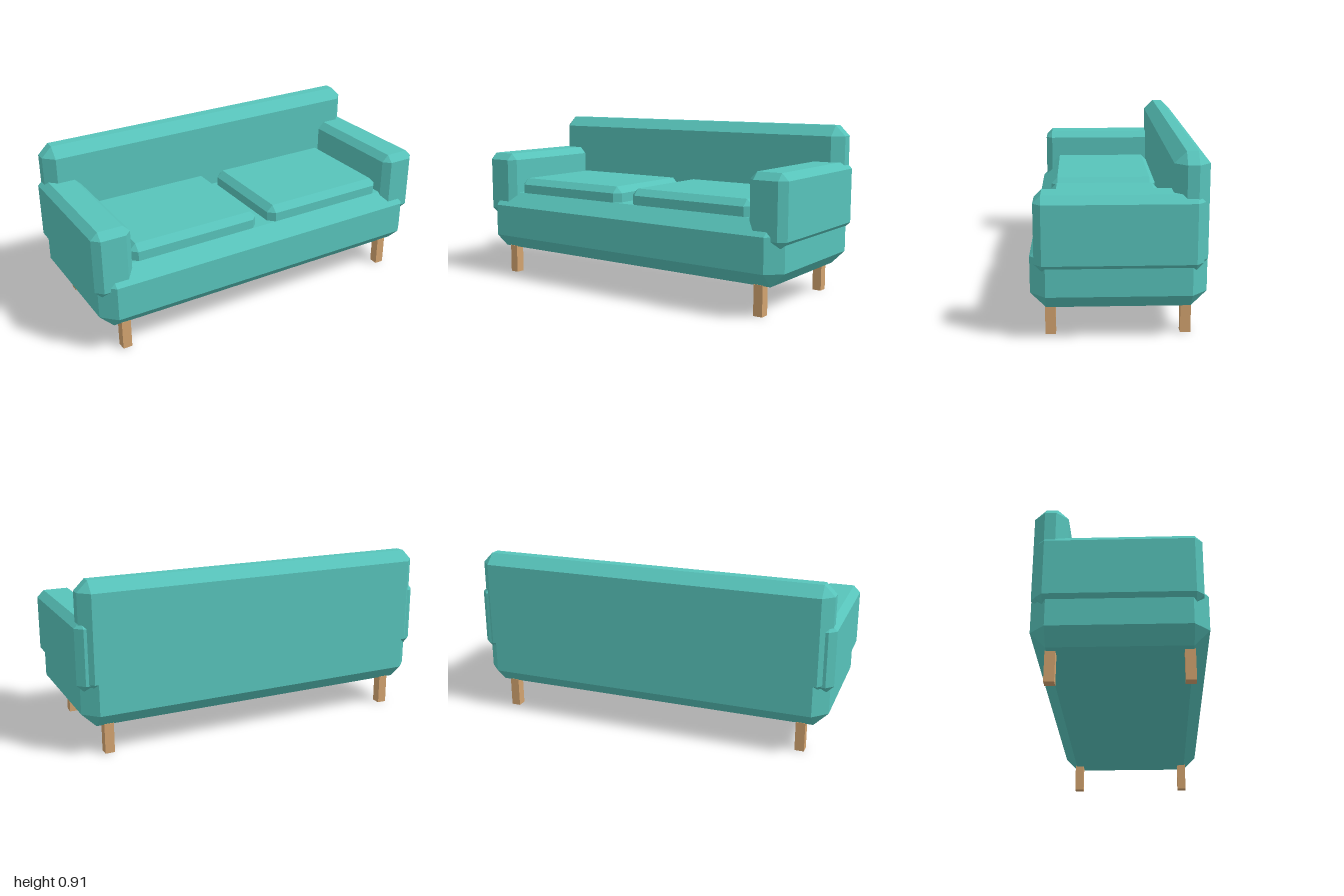
import * as THREE from 'three';
import { ConvexGeometry } from 'three/addons/geometries/ConvexGeometry.js';

const fabric = new THREE.MeshStandardMaterial({ color: 0x57c3ba });
fabric.name = 'teal fabric';
const wood = new THREE.MeshStandardMaterial({ color: 0xd2a36f });
wood.name = 'light wood';

// Box from min to max corner with every edge cut flat by c
function chamferBox(min, max, c) {
  const size = max.map((v, i) => (v - min[i]) / 2);
  const mid = max.map((v, i) => (v + min[i]) / 2);
  const points = [];
  for (const sx of [-1, 1]) for (const sy of [-1, 1]) for (const sz of [-1, 1]) {
    const s = [sx, sy, sz];
    for (let axis = 0; axis < 3; axis++) {
      points.push(new THREE.Vector3(
        ...s.map((sign, i) => mid[i] + sign * (size[i] - (i === axis ? 0 : c)))));
    }
  }
  return new ConvexGeometry(points);
}

export function createModel() {
  const sofa = new THREE.Group();
  sofa.name = 'sofa';

  const add = (name, geometry, material) => {
    const mesh = new THREE.Mesh(geometry, material);
    mesh.name = name;
    sofa.add(mesh);
    return mesh;
  };

  // Seat base and backrest
  add('seatBase', chamferBox([-0.98, 0.155, -0.42], [0.98, 0.485, 0.42], 0.075), fabric);
  add('backrest', chamferBox([-0.98, 0.34, -0.42], [0.98, 0.908, -0.253], 0.056), fabric);

  for (const [side, s] of [['left', 1], ['right', -1]]) {
    // Mirrored spans along x
    const span = (a, b) => (s > 0 ? [a, b] : [-b, -a]);

    const [armA, armB] = span(0.793, 1.0);
    add(side + 'Armrest', chamferBox([armA, 0.351, -0.397], [armB, 0.715, 0.397], 0.037), fabric);

    const [cushA, cushB] = span(0.038, 0.783);
    add(side + 'Cushion', chamferBox([cushA, 0.43, -0.257], [cushB, 0.57, 0.345], 0.035), fabric);

    // Legs
    for (const [end, z] of [['Front', 0.327], ['Back', -0.327]]) {
      add(side + end + 'Leg', new THREE.BoxGeometry(0.05, 0.16, 0.051), wood)
        .position.set(s * 0.841, 0.08, z);
    }
  }
  return sofa;
}
